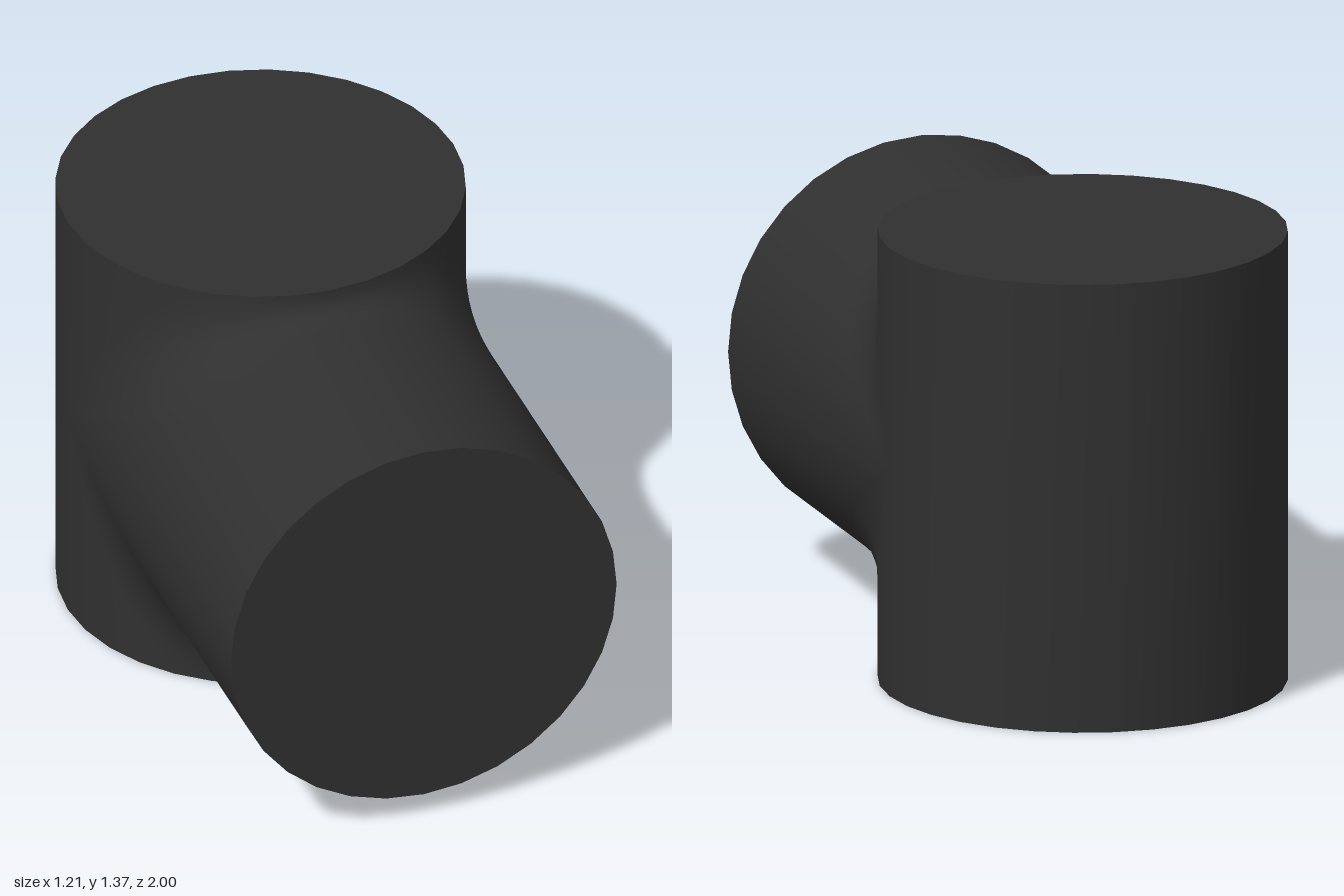
import * as THREE from 'three';
import { mergeGeometries, mergeVertices } from 'three/addons/utils/BufferGeometryUtils.js';

const R = 0.605;          // radius of both pipes
const H = 0.685;          // half height of the upright pipe
const AXIS_Z = -0.395;    // axis of the upright pipe
const REACH = 1 - AXIS_Z; // branch end, measured from that axis
const SIDES = 32;
const FILLET_STEPS = 8;

// Skin over rows of points; flip reverses the facing
function skin(rows, flip) {
  const n = rows[0].length;
  const index = [];
  for (let i = 0; i < rows.length - 1; i++) {
    for (let j = 0; j < n - 1; j++) {
      const a = i * n + j, b = a + n, c = a + 1, d = b + 1;
      if (flip) index.push(a, b, c, b, d, c);
      else index.push(a, c, b, b, c, d);
    }
  }
  const g = new THREE.BufferGeometry();
  g.setAttribute('position', new THREE.Float32BufferAttribute(rows.flat(2), 3));
  g.setIndex(index);
  return g;
}

// Front half: runs from a rim of the upright pipe, round the fillet, to the branch end
function frontSkin(sign) {
  const rows = [];
  for (let i = 0; i <= SIDES / 2; i++) {
    const t = -Math.PI / 2 + (i * 2 * Math.PI) / SIDES;
    const x = R * Math.sin(t), c = R * Math.cos(t);
    const s = Math.cos(t) * (0.07 + 0.45 * Math.sin(t) ** 2); // fillet setback
    const row = [[x, sign * H, c]];
    for (let k = 0; k <= FILLET_STEPS; k++) {
      const u = k / FILLET_STEPS;
      row.push([x, sign * (c + s * (1 - u) ** 2), c + 1.3 * s * u * u]);
    }
    row.push([x, sign * c, REACH]);
    rows.push(row);
  }
  return skin(rows, sign < 0);
}

// Plain back half of the upright pipe
function backSkin() {
  const rows = [];
  for (let i = 0; i <= SIDES / 2; i++) {
    const t = Math.PI / 2 + (i * 2 * Math.PI) / SIDES;
    rows.push([H, 0, -H].map((y) => [R * Math.sin(t), y, R * Math.cos(t)]));
  }
  return skin(rows, false);
}

export function createModel() {
  const group = new THREE.Group();
  group.name = 'pipeTee';
  const charcoal = new THREE.MeshStandardMaterial({ color: 0x303030 });
  charcoal.name = 'charcoal';

  const add = (name, geometry) => {
    const mesh = new THREE.Mesh(geometry, charcoal);
    mesh.name = name;
    group.add(mesh);
    return mesh;
  };

  // Joined pipe walls, smooth across the fillet
  const walls = mergeVertices(mergeGeometries([frontSkin(1), frontSkin(-1), backSkin()]), 1e-4);
  walls.computeVertexNormals();
  add('pipeWalls', walls).position.set(0, H, AXIS_Z);

  // Flat ends
  const disc = new THREE.CircleGeometry(R, SIDES);
  const top = add('topCap', disc);
  top.rotation.x = -Math.PI / 2;
  top.position.set(0, 2 * H, AXIS_Z);
  const bottom = add('bottomCap', disc);
  bottom.rotation.x = Math.PI / 2;
  bottom.position.set(0, 0, AXIS_Z);
  add('branchCap', disc).position.set(0, H, 1);

  return group;
}
